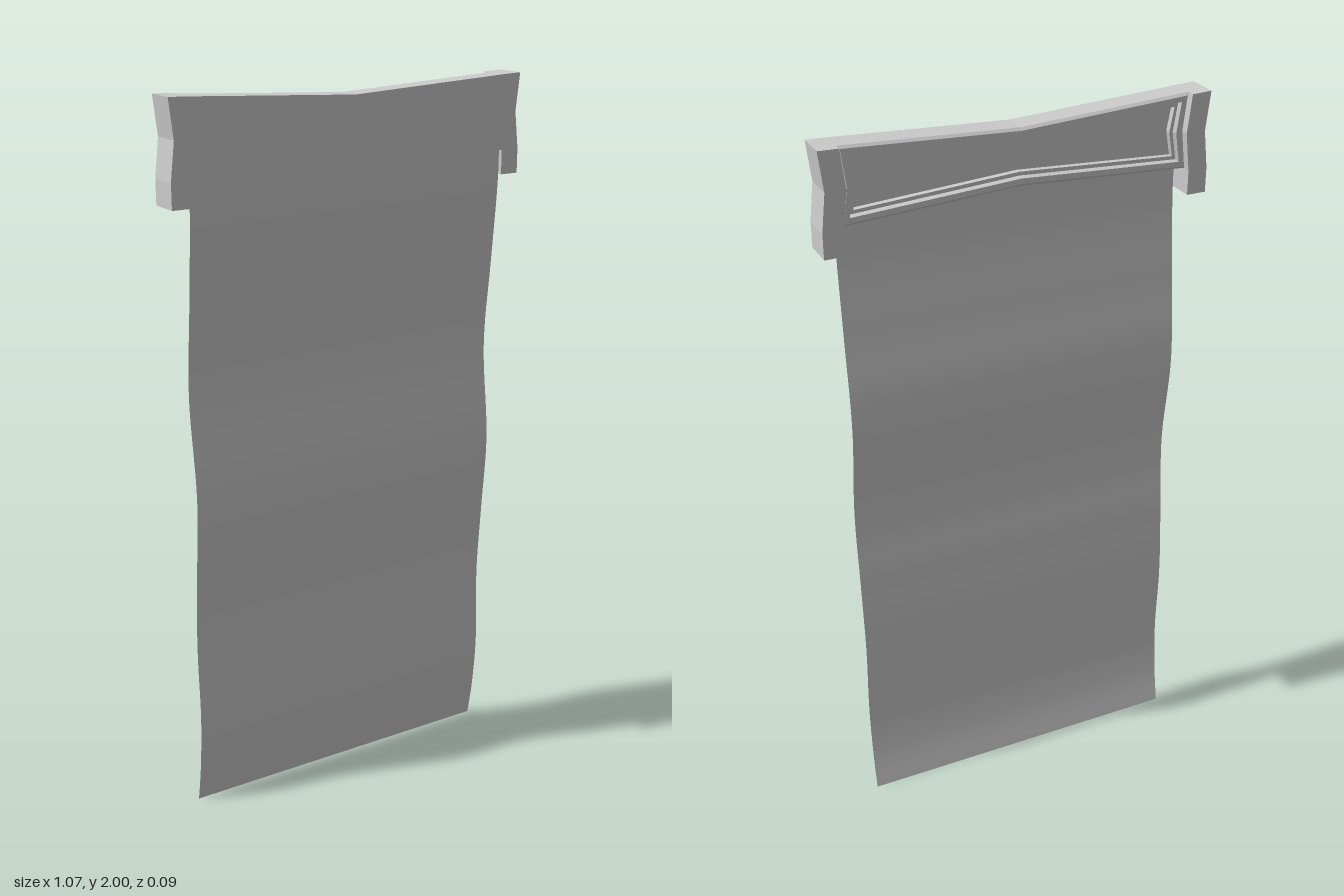
import * as THREE from 'three';

const HALF_DEPTH = 0.044;
const material = new THREE.MeshStandardMaterial({ color: 0xcccccc });
const clothMaterial = new THREE.MeshStandardMaterial({ color: 0xcccccc, side: THREE.DoubleSide });

// Pinched bow-tie outline of the crossbar, shrunk by an inset (counter-clockwise)
function bowTie(inset) {
  const x = 0.48 - inset, waist = x - 0.012;
  return [
    [x, 1.998 - inset], [0, 1.973 - inset], [-x, 1.998 - inset], [-waist, 1.895],
    [-x, 1.793 + inset], [0, 1.82 + inset], [x, 1.793 + inset], [waist, 1.895],
  ];
}

// Flat-sided slab from an outline, between two depths
function slab(name, points, zBack, zFront) {
  const shape = new THREE.Shape(points.map(([x, y]) => new THREE.Vector2(x, y)));
  const geometry = new THREE.ExtrudeGeometry(shape, { depth: zFront - zBack, bevelEnabled: false });
  geometry.translate(0, 0, zBack);
  const mesh = new THREE.Mesh(geometry, material);
  mesh.name = name;
  return mesh;
}

// Raised moulding: bow-tie loops joined along a stepped profile of [inset, z]
function moulding(profile) {
  const loops = profile.map(([inset, z]) => bowTie(inset).map(([x, y]) => [x, y, z]));
  const positions = [];
  for (let i = 0; i < loops.length - 1; i++) {
    for (let j = 0; j < 8; j++) {
      const k = (j + 1) % 8;
      const a = loops[i][j], b = loops[i][k], c = loops[i + 1][j], d = loops[i + 1][k];
      positions.push(...a, ...c, ...b, ...b, ...c, ...d);
    }
  }
  const geometry = new THREE.BufferGeometry();
  geometry.setAttribute('position', new THREE.Float32BufferAttribute(positions, 3));
  geometry.computeVertexNormals();
  const mesh = new THREE.Mesh(geometry, material);
  mesh.name = 'backMoulding';
  return mesh;
}

// Thin hanging cloth with gentle waves down its length
function cloth() {
  const top = 1.85;
  const wave = new THREE.SplineCurve([
    [0, -0.038], [0.12, -0.018], [0.28, -0.006], [0.5, -0.013], [0.72, 0.001], [0.95, 0.016],
    [1.22, -0.011], [1.47, 0.01], [1.7, 0.03], [top, 0.03],
  ].map(([y, z]) => new THREE.Vector2(y, z)));
  const rows = 64;
  const geometry = new THREE.PlaneGeometry(0.96, top, 1, rows);
  const position = geometry.attributes.position;
  for (let i = 0; i < position.count; i++) {
    const point = wave.getPoint(1 - Math.floor(i / 2) / rows);
    position.setY(i, point.x);
    position.setZ(i, point.y);
  }
  geometry.computeVertexNormals();
  const mesh = new THREE.Mesh(geometry, clothMaterial);
  mesh.name = 'hangingCloth';
  return mesh;
}

export function createModel() {
  const model = new THREE.Group();
  model.name = 'hangingBanner';

  // Crossbar panel and the stepped frame on its back
  model.add(slab('crossbarPanel', bowTie(0), 0, HALF_DEPTH));
  model.add(moulding([
    [0, 0], [0, -0.021], [0.007, -0.028], [0.022, -0.028],
    [0.026, -0.016], [0.036, -0.016], [0.036, 0],
  ]));

  // End blocks with pinched sides and short legs
  for (const [name, side] of [['leftEndBlock', 1], ['rightEndBlock', -1]]) {
    const outline = [
      [0.48, 1.725], [0.535, 1.725], [0.535, 1.793], [0.523, 1.895], [0.535, 2],
      [0.48, 1.998], [0.468, 1.895], [0.48, 1.793],
    ].map(([x, y]) => [x * side, y]);
    model.add(slab(name, outline, -HALF_DEPTH, HALF_DEPTH));
  }

  model.add(cloth());
  return model;
}
